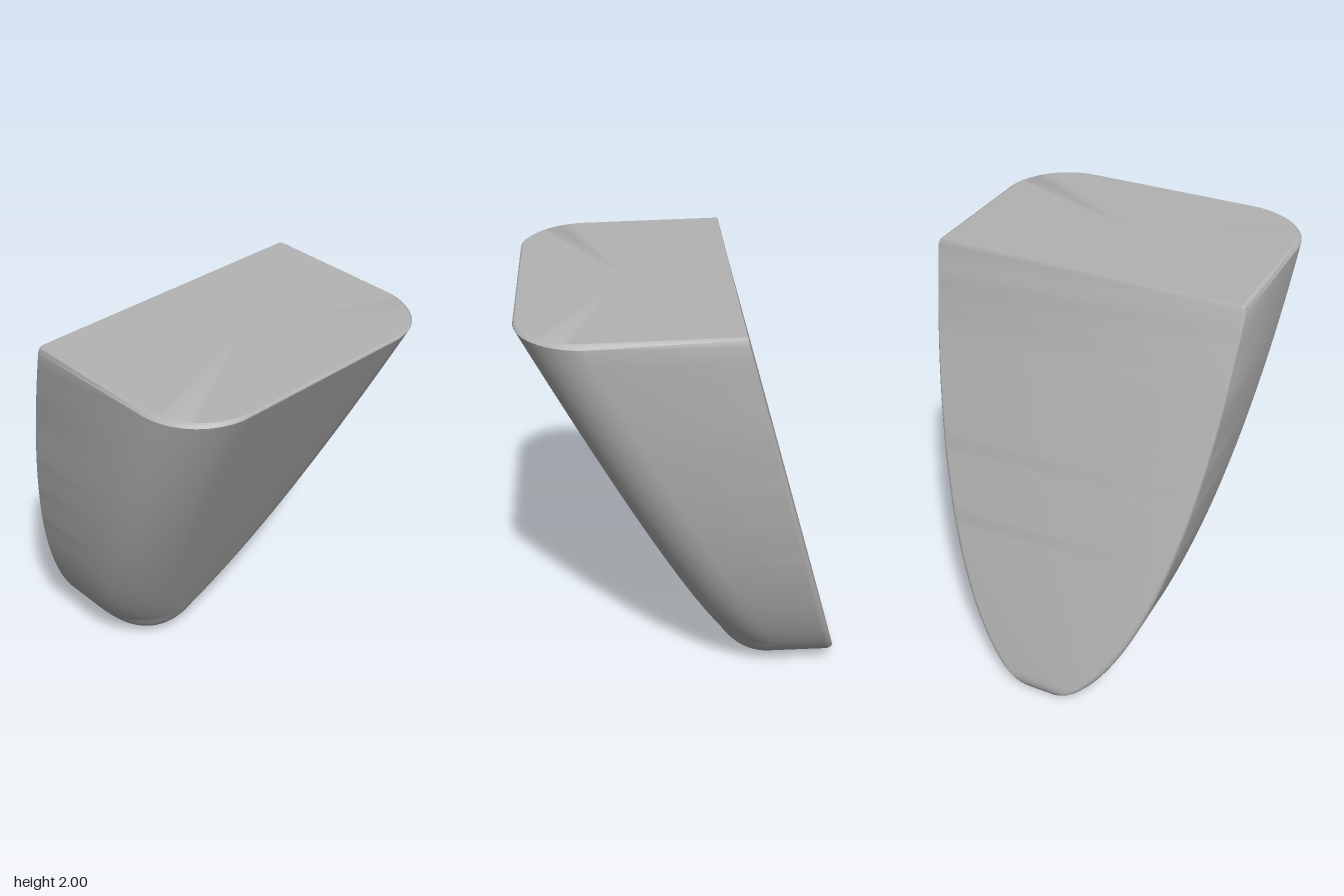
import * as THREE from 'three';
import { toCreasedNormals } from 'three/addons/utils/BufferGeometryUtils.js';

const TOP = 1.97;

const bezier = (a, b, c, t) => a * (1 - t) ** 2 + 2 * b * t * (1 - t) + c * t * t;

// Half width of the U-shaped outline at height y
function halfWidth(y) {
  const s = Math.sqrt(y);
  return s * (0.665 + 0.03 * s - 0.102 * s * s);
}

// Slanted flat back, curling under at the foot
function backX(y) {
  return y < 0.09 ? bezier(-0.64, -0.746, -0.722, Math.sqrt(y / 0.09)) : -0.2 - (2 - y) * 0.2732;
}

// Slanted front, rounding into the flat underside
function frontX(y) {
  return y < 0.2 ? bezier(-0.42, -0.237, -0.14, Math.sqrt(y / 0.2)) : -0.14 + (y - 0.2) * 0.486;
}

// Horizontal section: tight back corners, broad front corners
function section(y, inset = 0) {
  const w = halfWidth(y) - inset;
  const xb = backX(y), xf = frontX(y) - inset;
  const rb = Math.min(0.006 + 0.035 * (1 - y / 2), w * 0.5);
  const rz = Math.min(0.29, w), rx = 0.29 * Math.min(1, Math.sqrt(y / 0.2));
  const half = [];
  for (let i = 0; i <= 5; i++) {
    const a = (i / 5) * Math.PI / 2;
    half.push([xb + rb * (1 - Math.sin(a)), w - rb * (1 - Math.cos(a))]);
  }
  half.sort((p, q) => p[1] - q[1]);
  for (let i = 0; i <= 14; i++) {
    const a = (i / 14) * Math.PI / 2;
    half.push([xf - rx * (1 - Math.sin(a)), w - rz * (1 - Math.cos(a))]);
  }
  const mirrored = half.map(([x, z]) => [x, -z]).reverse();
  return [...half, ...mirrored];
}

const tilt = (x) => 2 - 0.016 * (x + 0.2) / 0.92;

function bodyGeometry() {
  const rings = [];
  const steps = 48;
  for (let i = 0; i <= steps; i++) {
    const y = TOP * (i / steps) ** 2;
    rings.push(section(y).map(([x, z]) => [x, y, z]));
  }
  // Softened top rim, following the slight tilt of the top
  rings.push(section(1.985, 0.008).map(([x, z]) => [x, tilt(x) - 0.008, z]));
  rings.push(section(2, 0.022).map(([x, z]) => [x, tilt(x), z]));

  const n = rings[0].length;
  const index = [];
  for (let r = 0; r < rings.length - 1; r++) {
    for (let i = 0; i < n; i++) {
      const j = (i + 1) % n;
      const a = r * n + i, b = r * n + j;
      index.push(a, b, b + n, a, b + n, a + n);
    }
  }
  // Flat top
  const centre = rings.length * n, last = centre - n;
  for (let i = 0; i < n; i++) index.push(centre, last + i, last + (i + 1) % n);

  const points = [...rings.flat(2), 0.25, tilt(0.25), 0];
  const geometry = new THREE.BufferGeometry();
  geometry.setAttribute('position', new THREE.Float32BufferAttribute(points, 3));
  geometry.setIndex(index);
  return toCreasedNormals(geometry, 0.5);
}

export function createModel() {
  const grey = new THREE.MeshStandardMaterial({ color: 0xb3b3b3 });
  grey.name = 'light grey';
  const body = new THREE.Mesh(bodyGeometry(), grey);
  body.name = 'slantedBody';
  const model = new THREE.Group();
  model.name = 'slantedBracket';
  model.add(body);
  return model;
}
